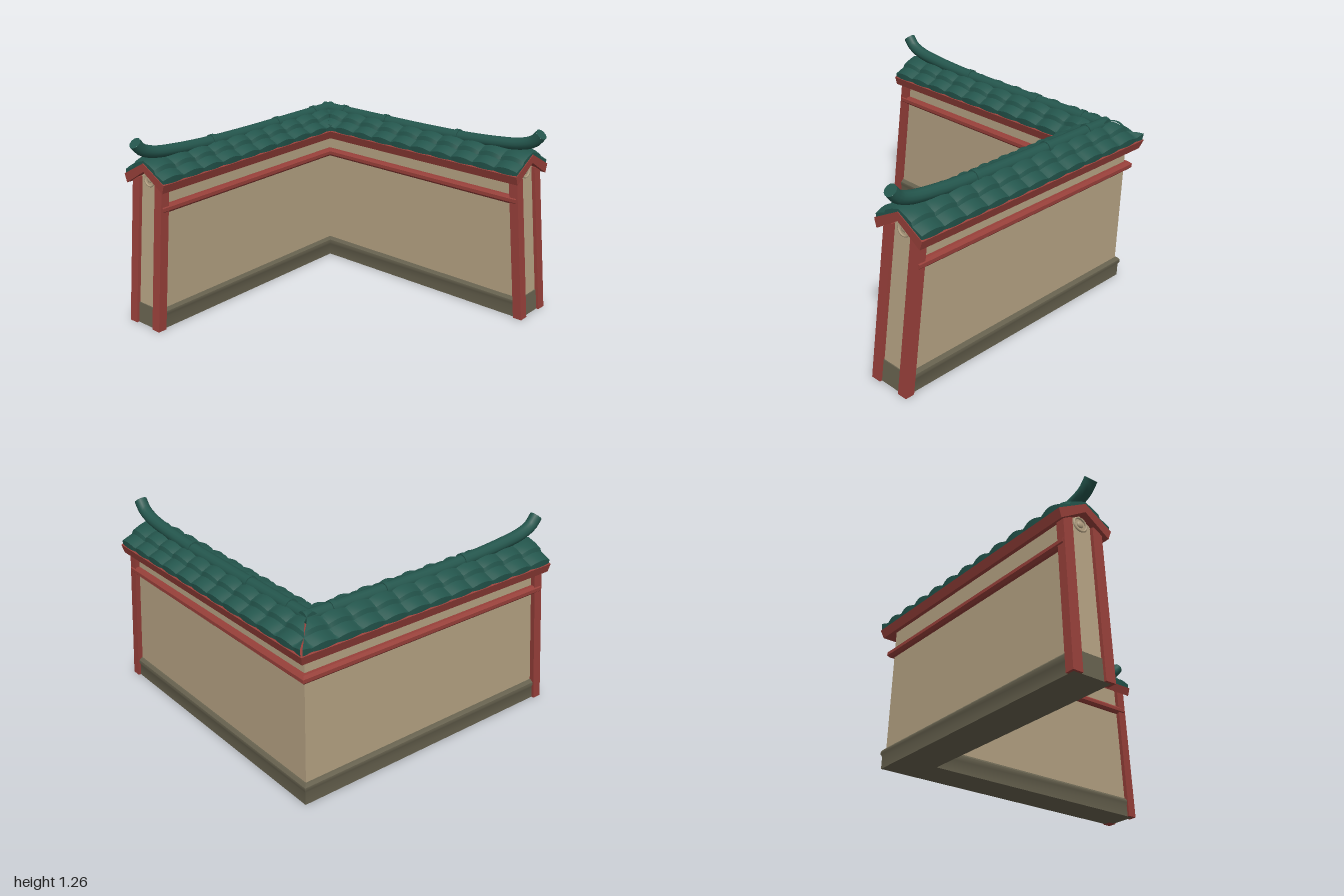
import * as THREE from 'three';
import { toCreasedNormals } from 'three/addons/utils/BufferGeometryUtils.js';

const MID = -0.81; // centre line of both arms
const lean = (x, y) => x - 0.107 * y; // arm ends slope inwards with height

// Mirrors a half profile (top to bottom, [offset, y, ripple]) into a closed loop.
const both = (half) => [
  ...half.map(([d, y, r = 0]) => [-d, y, r]).reverse(),
  ...half.map(([d, y, r = 0]) => [d, y, r]),
];

// Barrel-tile wave along the arm.
const wave = (x) => Math.abs(Math.sin((Math.PI * (x - 0.915)) / 0.167));

// Sweeps a profile along x, mitred at the corner (x = z) and cut at end(y).
function sweep(profile, end, steps = 1) {
  const n = profile.length;
  const rows = [];
  for (let i = 0; i <= steps; i++) {
    const gx = steps === 1 ? (i ? 2 : -2) : -1.03 + (i / steps) * 2;
    rows.push(profile.map(([d, y, r]) => {
      const z0 = MID + d;
      const x = Math.min(Math.max(gx, z0), end(y));
      const w = r * wave(x);
      const z = z0 + Math.sign(d) * w * 0.5;
      return new THREE.Vector3(Math.max(x, z), y + w, z);
    }));
  }
  const out = [];
  const tri = (a, b, c) => {
    const area = b.clone().sub(a).cross(c.clone().sub(a)).length();
    if (area > 1e-9) for (const p of [a, b, c]) out.push(p.x, p.y, p.z);
  };
  for (let i = 0; i < steps; i++) {
    for (let j = 0; j < n; j++) {
      const k = (j + 1) % n;
      tri(rows[i][j], rows[i][k], rows[i + 1][j]);
      tri(rows[i][k], rows[i + 1][k], rows[i + 1][j]);
    }
  }
  // End cap, facing away from the corner
  const last = rows[steps];
  const contour = last.map((p) => new THREE.Vector2(p.y, p.z));
  for (const [a, b, c] of THREE.ShapeUtils.triangulateShape(contour, [])) {
    const [p, q, s] = [contour[a], contour[b], contour[c]];
    const ccw = (q.x - p.x) * (s.y - p.y) - (q.y - p.y) * (s.x - p.x) > 0;
    if (ccw) tri(last[a], last[b], last[c]);
    else tri(last[a], last[c], last[b]);
  }
  const geo = new THREE.BufferGeometry();
  geo.setAttribute('position', new THREE.Float32BufferAttribute(out, 3));
  return toCreasedNormals(geo, 0.6);
}

// Reflects a geometry across the corner diagonal (swaps x and z, keeps faces outward).
function reflect(source) {
  const geo = source.index ? source.toNonIndexed() : source.clone();
  geo.deleteAttribute('uv');
  for (const key of ['position', 'normal']) {
    const a = geo.attributes[key].array;
    for (let i = 0; i < a.length; i += 9) {
      const t = Array.from(a.slice(i, i + 9));
      [0, 2, 1].forEach((from, to) => {
        a[i + to * 3] = t[from * 3 + 2];
        a[i + to * 3 + 1] = t[from * 3 + 1];
        a[i + to * 3 + 2] = t[from * 3];
      });
    }
  }
  return geo;
}

export function createModel() {
  const material = (name, color) => {
    const m = new THREE.MeshStandardMaterial({ color });
    m.name = name;
    return m;
  };
  const plaster = material('plaster', 0xb5a283);
  const stone = material('stone', 0x67624f);
  const red = material('redWood', 0x98403a);
  const tile = material('greenTile', 0x24564d);

  const model = new THREE.Group();
  model.name = 'cornerWall';
  const arms = ['rightArm', 'frontArm'].map((name) => {
    const g = new THREE.Group();
    g.name = name;
    model.add(g);
    return g;
  });
  // Adds a part to both arms
  const add = (name, geo, mat) => {
    [geo, reflect(geo)].forEach((g, i) => {
      const mesh = new THREE.Mesh(g, mat);
      mesh.name = name;
      arms[i].add(mesh);
    });
  };

  // Plaster wall with gable top, and its stone foot with a rolled edge
  add('wall', sweep(both([[0, 1.05], [0.11, 0.985], [0.11, 0.1]]), (y) => lean(0.975, y)), plaster);
  add('base', sweep(both([
    [0.1, 0.137], [0.12, 0.133], [0.133, 0.118], [0.135, 0.1], [0.126, 0.08], [0.126, 0],
  ]), (y) => lean(0.982, y)), stone);

  // Leaning end posts
  for (const side of [-1, 1]) {
    const post = new THREE.BoxGeometry(0.062, 0.98, 0.066);
    post.translate(0.968, 0.49, MID + side * 0.11);
    const p = post.attributes.position;
    for (let i = 0; i < p.count; i++) {
      p.setX(i, lean(p.getX(i), p.getY(i)));
      if (p.getY(i) > 0.5) p.setZ(i, p.getZ(i) - side * 0.004);
    }
    post.computeVertexNormals();
    add('post', post, red);
  }

  // Rails along each face
  for (const side of [-1, 1]) {
    const rail = [];
    for (let k = 0; k < 8; k++) {
      const a = ((k + 0.5) / 8) * Math.PI * 2;
      rail.push([side * 0.119 + 0.029 * Math.sin(a), 0.808 + 0.029 * Math.cos(a), 0]);
    }
    add('rail', sweep(rail, () => 0.9), red);
  }

  // Roof boards, showing as a chevron on the gable
  add('roofBoards', sweep(both([[0, 1.09], [0.188, 0.985], [0.17, 0.928], [0, 1.035]]), () => 0.92), red);

  // Two overlapping courses of barrel tiles on each slope
  add('roofTiles', sweep(both([
    [0, 1.105, 0], [0.05, 1.088, 0.018], [0.1, 1.064, 0.024], [0.11, 1.042, 0.018],
    [0.15, 1.026, 0.02], [0.18, 1.013, 0.018], [0.176, 0.97, 0.016], [0, 1.06, 0],
  ]), () => 0.915, 144), tile);

  // Ridge sweeping up into a blunt horn
  const curve = new THREE.CatmullRomCurve3([
    [-0.845, 1.09], [-0.4, 1.09], [0.1, 1.093], [0.4, 1.102], [0.65, 1.12],
    [0.83, 1.145], [0.92, 1.18], [0.967, 1.232],
  ].map(([x, y]) => new THREE.Vector3(x, y, MID)));
  add('ridge', new THREE.TubeGeometry(curve, 60, 0.04, 12), tile);
  for (const t of [0, 1]) {
    const cap = new THREE.CircleGeometry(0.04, 12);
    const dir = curve.getTangentAt(t).multiplyScalar(t ? 1 : -1);
    cap.applyQuaternion(new THREE.Quaternion().setFromUnitVectors(new THREE.Vector3(0, 0, 1), dir));
    const at = curve.getPointAt(t);
    cap.translate(at.x, at.y, at.z);
    add('ridgeCap', cap, tile);
  }
  // Raised joints on the ridge
  for (const [x, y] of [[-0.65, 1.09], [-0.27, 1.09], [0.34, 1.1]]) {
    const joint = new THREE.CylinderGeometry(0.047, 0.047, 0.03, 14);
    joint.rotateZ(Math.PI / 2).translate(x, y, MID);
    add('ridgeJoint', joint, tile);
  }

  // Round plaster medallion under the gable
  const place = (g) => g.rotateY(Math.PI / 2).rotateZ(0.107).translate(lean(0.978, 0.975), 0.975, MID);
  add('medallionRim', place(new THREE.TorusGeometry(0.044, 0.007, 6, 20)), plaster);
  add('medallionBoss', place(new THREE.SphereGeometry(0.022, 12, 8).scale(1, 1, 0.4)), plaster);

  return model;
}
